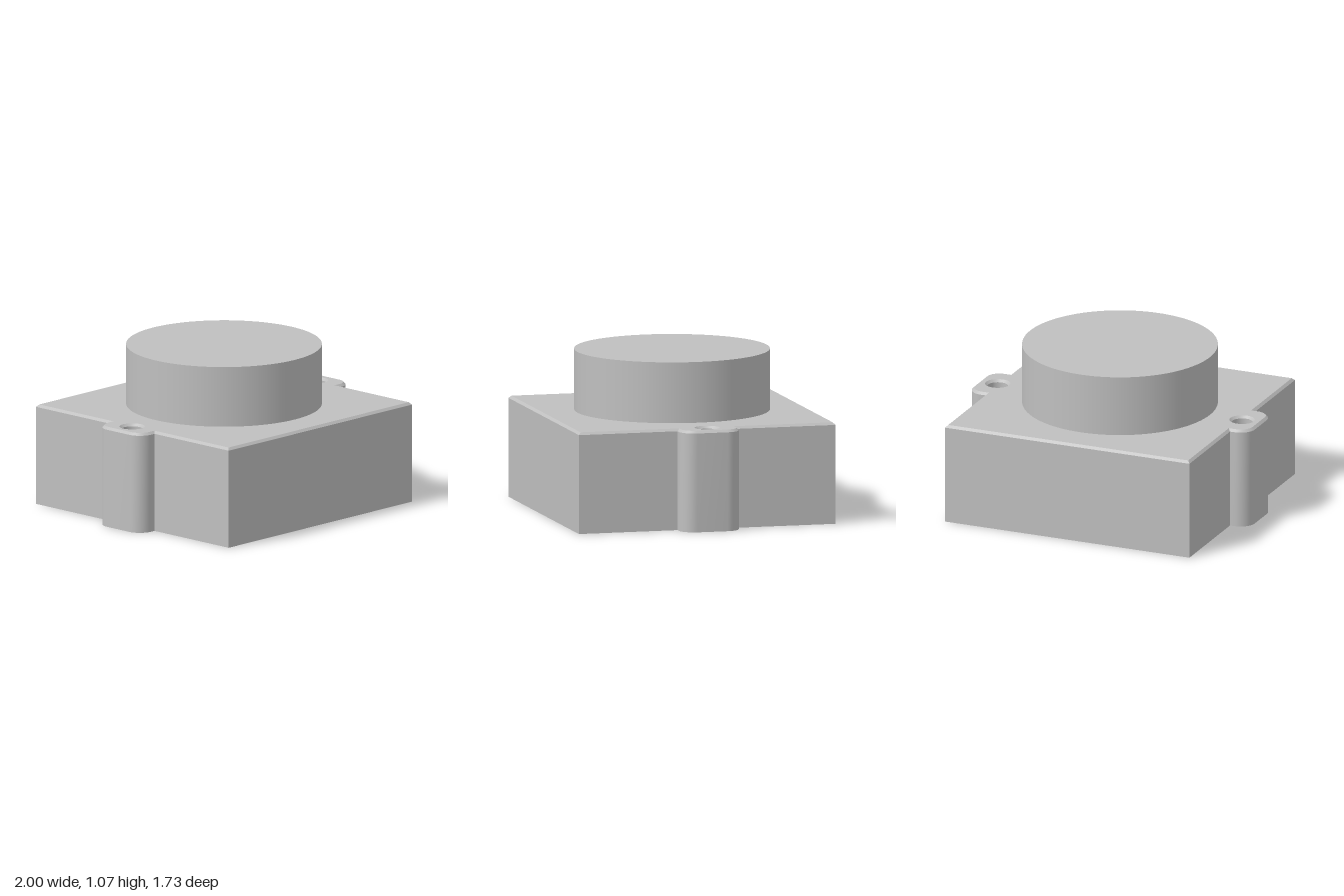
import * as THREE from 'three';
import { mergeGeometries, toCreasedNormals } from 'three/addons/utils/BufferGeometryUtils.js';

const HALF = 0.867, TAB_X = 1, TAB_Z = 0.2, TAB_R = 0.1;
const HEIGHT = 0.667, CHAMFER = 0.016, HOLE_R = 0.067;

// Square plan with a rounded lug on each side, shrunk evenly by an inset
function outline(inset) {
  const h = HALF - inset, x = TAB_X - inset, z = TAB_Z - inset, r = TAB_R - inset;
  const half = [[h, -h], [h, -z]].map(p => new THREE.Vector2(...p));
  for (const [side, start] of [[-1, -Math.PI / 2], [1, 0]]) {
    for (let i = 0; i <= 10; i++) {
      const a = start + (i / 10) * Math.PI / 2;
      half.push(new THREE.Vector2(x - r + r * Math.cos(a), side * (z - r) + r * Math.sin(a)));
    }
  }
  half.push(new THREE.Vector2(h, z), new THREE.Vector2(h, h));
  return [...half, ...half.map(p => p.clone().negate())];
}

// Clockwise screw hole, so that its wall faces inwards
function hole(cx, radius) {
  return Array.from({ length: 40 }, (_, i) => {
    const a = -i / 40 * Math.PI * 2;
    return new THREE.Vector2(cx + radius * Math.cos(a), radius * Math.sin(a));
  });
}

// Closed strip between two matching loops at two heights
function wall(low, y0, high, y1) {
  const pos = [];
  low.forEach((a, i) => {
    const j = (i + 1) % low.length, b = low[j], c = high[j], d = high[i];
    pos.push(a.x, a.y, y0, b.x, b.y, y0, c.x, c.y, y1);
    pos.push(a.x, a.y, y0, c.x, c.y, y1, d.x, d.y, y1);
  });
  const g = new THREE.BufferGeometry();
  g.setAttribute('position', new THREE.Float32BufferAttribute(pos, 3));
  return g;
}

// Flat face with the two screw holes
function face(loop, holes) {
  const shape = new THREE.Shape(loop);
  shape.holes = holes.map(h => new THREE.Path(h));
  const g = new THREE.ShapeGeometry(shape).toNonIndexed();
  g.deleteAttribute('uv');
  g.deleteAttribute('normal');
  return g;
}

function housingGeometry() {
  const shoulder = HEIGHT - CHAMFER;
  const full = outline(0), inner = outline(CHAMFER);
  const narrow = [-HALF, HALF].map(x => hole(x, HOLE_R));
  const wide = [-HALF, HALF].map(x => hole(x, HOLE_R + CHAMFER));
  const parts = [
    wall(full, 0, full, shoulder),
    wall(full, shoulder, inner, HEIGHT),
    face(inner, wide).translate(0, 0, HEIGHT),
    face(full, narrow).rotateX(Math.PI),
  ];
  narrow.forEach((n, i) => {
    parts.push(wall(n, 0, n, shoulder), wall(n, shoulder, wide[i], HEIGHT));
  });
  const g = mergeGeometries(parts).rotateX(-Math.PI / 2);
  return toCreasedNormals(g, 0.5);
}

export function createModel() {
  const group = new THREE.Group();
  group.name = 'sensorHousing';
  const grey = new THREE.MeshStandardMaterial({ color: 0xbfbfbf });
  grey.name = 'grey';

  // Chamfered box with screw lugs
  const housing = new THREE.Mesh(housingGeometry(), grey);
  housing.name = 'housing';

  // Round drum on top
  const drum = new THREE.Mesh(new THREE.CylinderGeometry(0.638, 0.638, 0.4, 96), grey);
  drum.name = 'drum';
  drum.position.y = HEIGHT + 0.2;

  group.add(housing, drum);
  return group;
}
